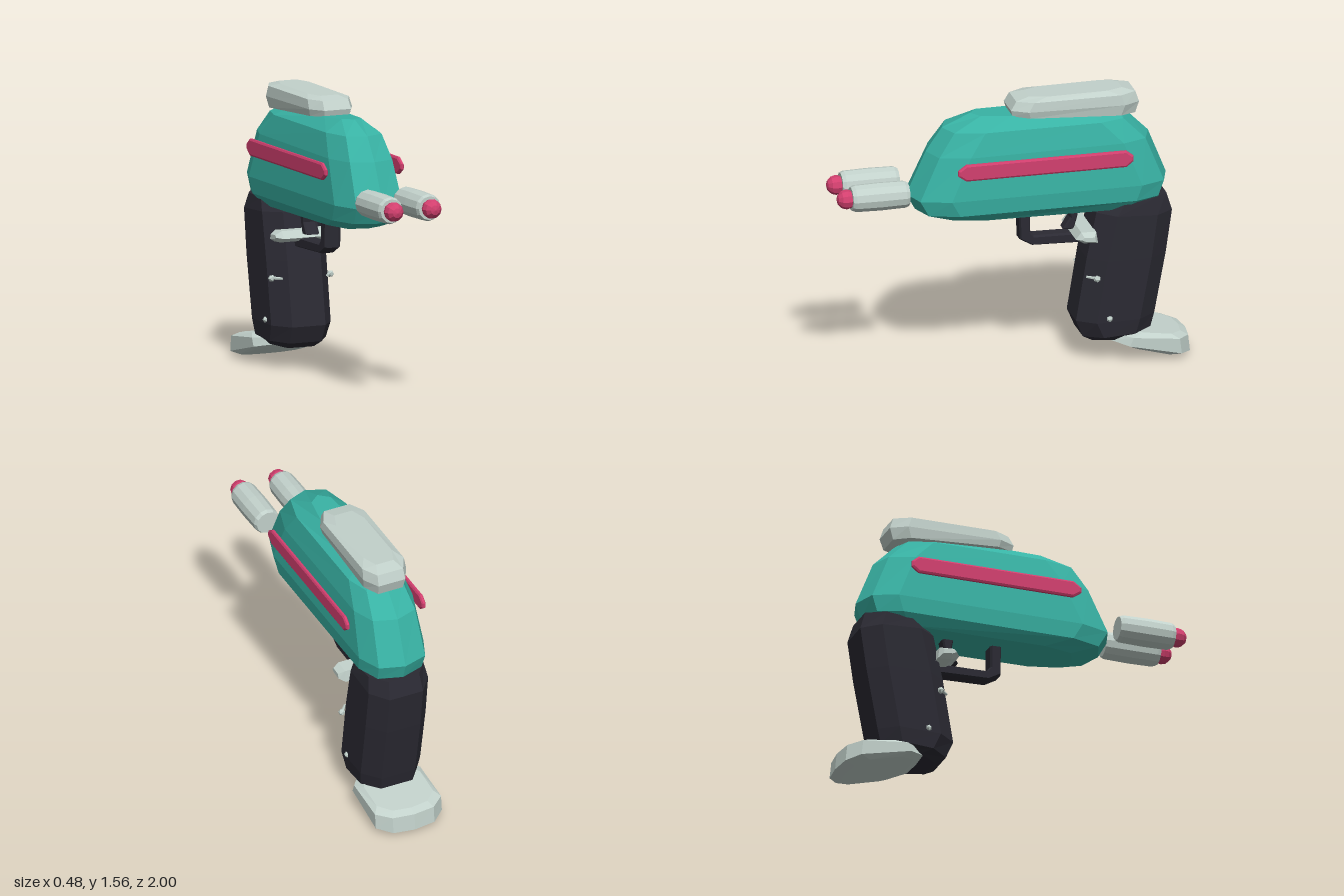
import * as THREE from 'three';

const mat = (name, color) => Object.assign(new THREE.MeshStandardMaterial({ color }), { name });

// Faceted normals for every part
function faceted(g) {
  const flat = g.index ? g.toNonIndexed() : g;
  flat.computeVertexNormals();
  return flat;
}

// Stack of chamfered plan outlines, bottom to top.
// ring: [front z, front y, back z, back y, half width]
function loft(rings, { front, back, ratio, tip }) {
  const pos = [];
  const loops = rings.map(([zf, yf, zb, yb, w]) => {
    const pt = (x, z) => [x, yb + (yf - yb) * (z - zb) / (zf - zb), z];
    const half = [[ratio * w, zf - tip], [w, zf - front], [w, zb + back], [ratio * w, zb + tip]];
    return [
      pt(0, zf), ...half.map(([x, z]) => pt(x, z)),
      pt(0, zb), ...half.slice().reverse().map(([x, z]) => pt(-x, z)),
    ];
  });
  const n = loops[0].length;
  const tri = (a, b, c) => pos.push(...a, ...b, ...c);
  for (let r = 0; r < loops.length - 1; r++) {
    const a = loops[r], b = loops[r + 1];
    for (let i = 0; i < n; i++) {
      const j = (i + 1) % n;
      tri(a[i], a[j], b[j]);
      tri(a[i], b[j], b[i]);
    }
  }
  const low = loops[0], top = loops[loops.length - 1];
  for (let i = 1; i < n - 1; i++) {
    tri(low[0], low[i + 1], low[i]);
    tri(top[0], top[i], top[i + 1]);
  }
  const g = new THREE.BufferGeometry();
  g.setAttribute('position', new THREE.Float32BufferAttribute(pos, 3));
  return g;
}

// Side profile of [z, y] points extruded across x, with chamfered ends
function sidePlate(points, width, bevel, inset = bevel) {
  const shape = new THREE.Shape(points.map(([z, y]) => new THREE.Vector2(z, y)));
  const depth = width - 2 * bevel;
  const g = new THREE.ExtrudeGeometry(shape, {
    depth, bevelEnabled: true, bevelThickness: bevel,
    bevelSize: inset, bevelOffset: -inset, bevelSegments: 1,
  });
  return g.translate(0, 0, -depth / 2).rotateY(-Math.PI / 2);
}

export function createModel() {
  const teal = mat('teal shell', 0x38b2a4);
  const grey = mat('pale grey', 0xc2d1cb);
  const dark = mat('dark grip', 0x2b2a33);
  const pink = mat('pink accent', 0xd3406f);

  const model = new THREE.Group();
  model.name = 'toyBlaster';
  const add = (name, geometry, material) => {
    const mesh = new THREE.Mesh(faceted(geometry), material);
    mesh.name = name;
    model.add(mesh);
    return mesh;
  };

  // Main shell
  add('body', loft([
    [0.38, 0.89, -0.80, 0.88, 0.14],
    [0.53, 0.94, -0.85, 0.94, 0.185],
    [0.58, 1.03, -0.88, 1.03, 0.195],
    [0.47, 1.27, -0.78, 1.28, 0.178],
    [0.38, 1.40, -0.66, 1.40, 0.15],
    [0.22, 1.47, -0.62, 1.43, 0.08],
  ], { front: 0.21, back: 0.18, ratio: 0.72, tip: 0.045 }), teal);

  // Rounded pod on top
  add('topPod', loft([
    [0.00, 1.455, -0.69, 1.415, 0.12],
    [0.01, 1.49, -0.71, 1.48, 0.13],
    [-0.02, 1.54, -0.69, 1.54, 0.125],
    [-0.10, 1.555, -0.62, 1.56, 0.085],
  ], { front: 0.09, back: 0.09, ratio: 0.62, tip: 0 }), grey);

  // Handle and its foot
  add('grip', loft([
    [-0.45, 0.11, -0.74, 0.15, 0.14],
    [-0.39, 0.145, -0.77, 0.17, 0.17],
    [-0.35, 0.24, -0.79, 0.25, 0.18],
    [-0.41, 0.60, -0.855, 0.60, 0.182],
    [-0.465, 0.86, -0.89, 0.84, 0.18],
    [-0.51, 0.91, -0.86, 0.94, 0.165],
  ], { front: 0.10, back: 0.10, ratio: 0.56, tip: 0 }), dark);
  add('gripFoot', loft([
    [-0.57, 0.10, -0.94, 0.00, 0.17],
    [-0.52, 0.125, -1.00, 0.015, 0.2],
    [-0.54, 0.16, -0.99, 0.11, 0.2],
    [-0.60, 0.18, -0.95, 0.13, 0.17],
  ], { front: 0.11, back: 0.08, ratio: 0.62, tip: 0.015 }), grey);

  // Trigger guard, trigger and cross bar
  add('triggerGuard', sidePlate([
    [-0.045, 0.90], [-0.05, 0.72], [-0.12, 0.68], [-0.46, 0.67], [-0.46, 0.73],
    [-0.13, 0.735], [-0.11, 0.76], [-0.11, 0.90],
  ], 0.095, 0.015, 0.008), dark);
  add('trigger', sidePlate([
    [-0.32, 0.90], [-0.335, 0.82], [-0.295, 0.755], [-0.355, 0.75], [-0.375, 0.82], [-0.39, 0.90],
  ], 0.08, 0.012, 0.008), dark);
  add('crossBar', sidePlate([
    [-0.335, 0.735], [-0.365, 0.775], [-0.45, 0.77], [-0.46, 0.705], [-0.38, 0.71],
  ], 0.385, 0.035, 0.02), grey);

  for (const side of [-1, 1]) {
    const label = side > 0 ? 'left' : 'right';

    // Long side rails
    const rail = sidePlate([
      [0.345, 1.195], [0.345, 1.225], [0.30, 1.257], [-0.60, 1.257],
      [-0.64, 1.225], [-0.64, 1.195], [-0.60, 1.163], [0.30, 1.163],
    ], 0.024, 0.006, 0.01);
    add(label + 'Rail', rail.translate(side * 0.23, 0, 0), pink);

    // Barrels with round tips
    const profile = [[0, 0.6], [0.066, 0.6], [0.075, 0.62], [0.078, 0.76], [0.075, 0.9], [0.066, 0.92], [0, 0.92]];
    const barrel = new THREE.LatheGeometry(profile.map(([r, y]) => new THREE.Vector2(r, y)), 12);
    add(label + 'Barrel', barrel.rotateX(Math.PI / 2).translate(side * 0.115, 1.076, 0), grey);
    const tip = new THREE.SphereGeometry(0.055, 10, 6).rotateX(Math.PI / 2);
    add(label + 'BarrelTip', tip.translate(side * 0.115, 1.076, 0.945), pink);

    // Small pins in the grip
    const stem = new THREE.CylinderGeometry(0.007, 0.01, 0.075, 6).rotateX(Math.PI / 2);
    const upperStem = add(label + 'UpperPinStem', stem, grey);
    upperStem.position.set(side * 0.16, 0.505, -0.43);
    upperStem.rotation.y = -side * 0.7;
    add(label + 'UpperPin', new THREE.IcosahedronGeometry(0.02, 0).translate(side * 0.178, 0.503, -0.45), grey);
    add(label + 'LowerPin', new THREE.IcosahedronGeometry(0.019, 0).translate(side * 0.178, 0.265, -0.52), grey);
  }
  return model;
}
